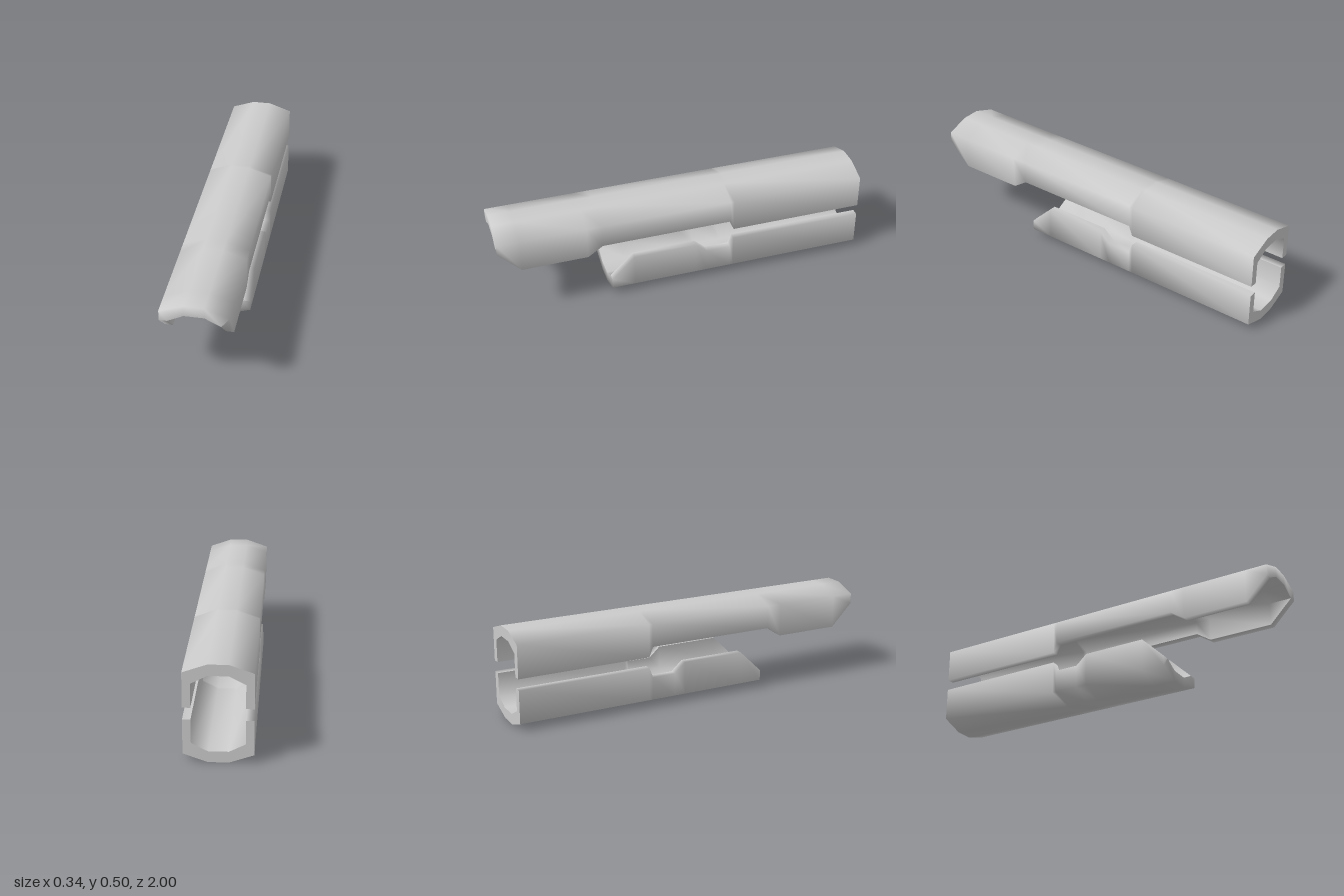
import * as THREE from 'three';
import { mergeGeometries } from 'three/addons/utils/BufferGeometryUtils.js';

// Arched channel section; the wall foot height h varies along the length
const section = (h) => [
  [-0.17, h], [-0.17, 0.458], [-0.05, 0.5], [0.05, 0.5], [0.17, 0.458], [0.17, h],
  [0.13, h], [0.13, 0.402], [0.05, 0.443], [-0.05, 0.443], [-0.13, 0.402], [-0.13, h],
];

// Lofts the section through stations of [z, foot height], from back to front
function channelGeometry(stations) {
  const n = 12;
  const positions = stations.flatMap(([z, h]) => section(h).flatMap(([x, y]) => [x, y, z]));
  const skin = [], lining = [], backCap = [];
  const last = (stations.length - 1) * n;

  for (let s = 0; s < stations.length - 1; s++) {
    for (let j = 0; j < n; j++) {
      const k = (j + 1) % n;
      const a = s * n + j, b = a + n, c = s * n + k, d = c + n;
      const target = j >= 6 && j <= 10 ? lining : skin;
      target.push(a, b, c, c, b, d);
    }
  }
  // End faces: the front one blends into the outer skin, the back one is crisp
  for (let k = 0; k < 5; k++) {
    const [a, b, c, d] = [k, k + 1, 10 - k, 11 - k];
    backCap.push(a, b, c, a, c, d);
    skin.push(last + a, last + c, last + b, last + a, last + d, last + c);
  }

  return mergeGeometries([skin, lining, backCap].map((index) => {
    const g = new THREE.BufferGeometry();
    g.setAttribute('position', new THREE.Float32BufferAttribute(positions, 3));
    g.setIndex(index);
    g.computeVertexNormals();
    return g;
  }));
}

export function createModel() {
  const group = new THREE.Group();
  const material = new THREE.MeshStandardMaterial({ color: 0xcccccc });

  // Long upper cover with a long side cutout and chamfered nose
  const upper = new THREE.Mesh(channelGeometry([
    [-1, 0.28], [-0.275, 0.28], [-0.255, 0.334], [0.45, 0.334],
    [0.53, 0.28], [0.88, 0.28], [1, 0.402],
  ]), material);
  upper.name = 'upperCover';

  // Shorter lower cover, the same section turned upside down
  const lower = new THREE.Mesh(channelGeometry([
    [-1, 0.28], [-0.275, 0.28], [-0.255, 0.334], [-0.125, 0.334],
    [-0.065, 0.28], [0.28, 0.28], [0.405, 0.402],
  ]), material);
  lower.name = 'lowerCover';
  lower.rotation.z = Math.PI;
  lower.position.y = 0.5;

  group.add(upper, lower);
  return group;
}
